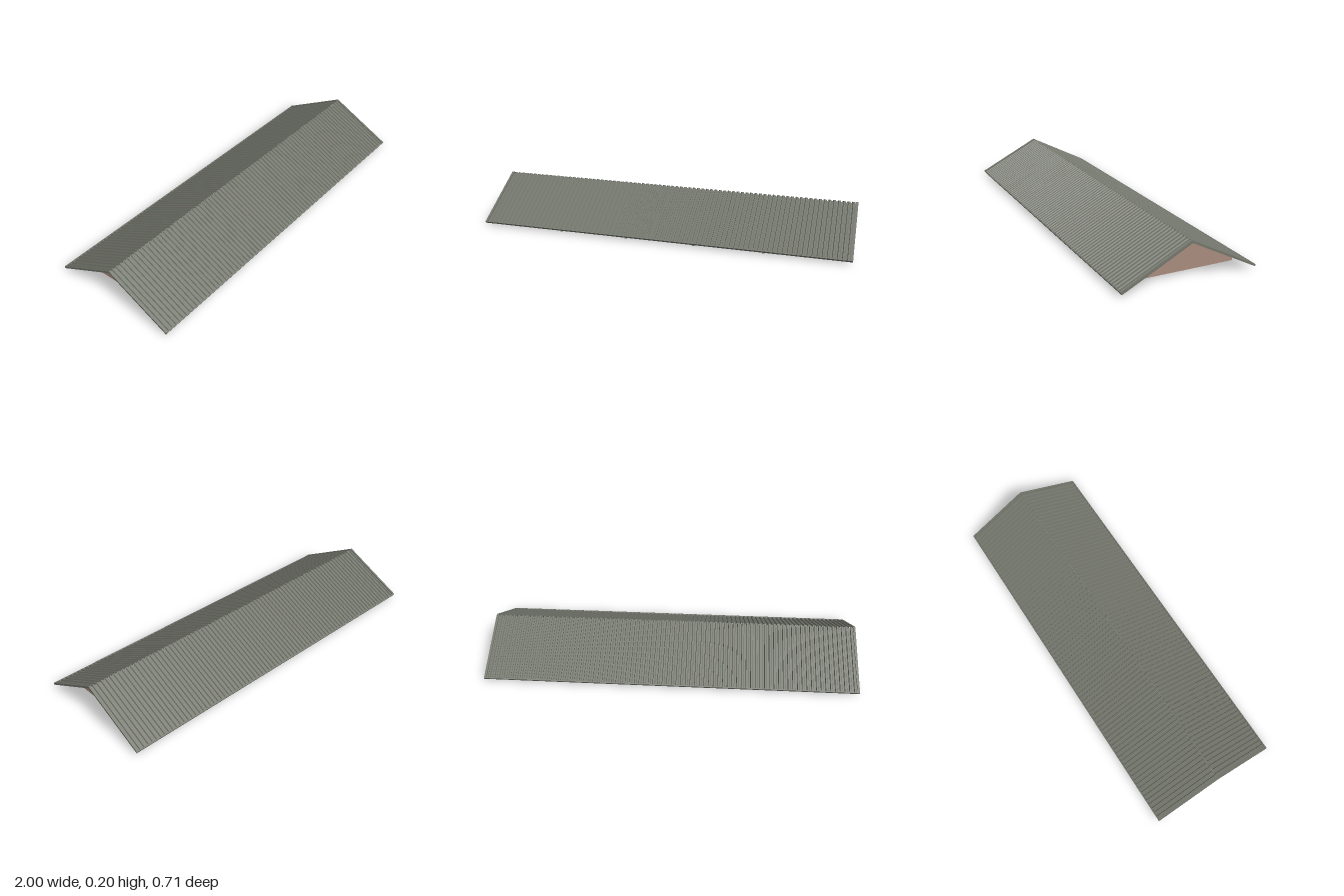
import * as THREE from 'three';

const PITCH = Math.atan(0.512);
const RIDGE_Y = 0.193;    // underside of the roofing at the ridge
const SLOPE = 0.394;      // length of one slope
const THICK = 0.0098;
const RIBS = 80;
const TRIM = 0.012;

const metal = new THREE.MeshStandardMaterial({ color: 0x74776d });
metal.name = 'greyMetal';
const gableMat = new THREE.MeshStandardMaterial({ color: 0xa88c7e });
gableMat.name = 'clayPanel';

const polygon = (points) => new THREE.Shape(points.map(([x, y]) => new THREE.Vector2(x, y)));

function addMesh(parent, name, geometry, material) {
  const mesh = new THREE.Mesh(geometry, material);
  mesh.name = name;
  parent.add(mesh);
  return mesh;
}

// Extrudes an (x, height) profile down the slope; the ridge end is cut plumb
function slopePrism(shape, from, to) {
  const geometry = new THREE.ExtrudeGeometry(shape, { depth: to - from, bevelEnabled: false });
  geometry.translate(0, 0, from);
  const p = geometry.attributes.position;
  for (let i = 0; i < p.count; i++) {
    if (Math.abs(p.getZ(i)) < 1e-6) p.setZ(i, -p.getY(i) * Math.tan(PITCH));
  }
  geometry.rotateX(PITCH).translate(0, RIDGE_Y, 0);
  geometry.computeVertexNormals();
  return geometry;
}

// Closed outline of a thin sheet with trapezoid ribs
function ribbedProfile(x0, x1) {
  const step = (x1 - x0) / RIBS;
  const sheet = 0.0015, low = 0.001, high = 0.0075;
  const wave = [[x0, low]];
  for (let i = 0; i < RIBS; i++) {
    const x = x0 + i * step;
    wave.push([x + step * 0.3, low], [x + step * 0.42, high],
      [x + step * 0.78, high], [x + step * 0.9, low]);
  }
  wave.push([x1, low]);
  const top = wave.map(([x, h]) => [x, h + sheet]).reverse();
  return polygon([...wave, ...top]);
}

const strip = (x0, x1) => polygon([[x0, 0], [x1, 0], [x1, THICK], [x0, THICK]]);

// Extrudes a (z, y) outline across x, centred on x = 0
function crossPlate(shape, width) {
  const geometry = new THREE.ExtrudeGeometry(shape, { depth: width, bevelEnabled: false });
  return geometry.translate(0, 0, -width / 2).rotateY(Math.PI / 2);
}

export function createModel() {
  const model = new THREE.Group();
  model.name = 'gableRoof';

  // Two matching roof slopes with end and eave trims
  const sheetGeo = slopePrism(ribbedProfile(-1 + TRIM, 1 - TRIM), 0, SLOPE - 0.006);
  const eaveGeo = slopePrism(strip(-1, 1), SLOPE - 0.006, SLOPE);
  const bargeGeo = slopePrism(strip(1 - TRIM, 1), 0, SLOPE - 0.006);
  const bargeGeo2 = slopePrism(strip(-1, -1 + TRIM), 0, SLOPE - 0.006);
  for (const side of ['front', 'back']) {
    const slope = new THREE.Group();
    slope.name = side + 'Slope';
    if (side === 'back') slope.rotation.y = Math.PI;
    addMesh(slope, 'corrugatedSheet', sheetGeo, metal);
    addMesh(slope, 'eaveTrim', eaveGeo, metal);
    addMesh(slope, 'endTrim', bargeGeo, metal);
    addMesh(slope, 'endTrim', bargeGeo2, metal);
    model.add(slope);
  }

  // Triangular trusses
  const trussShape = polygon([[-0.33, 0], [0.33, 0], [0.33, 0.024], [0, RIDGE_Y], [-0.33, 0.024]]);
  trussShape.holes.push(polygon([[-0.303, 0.018], [0, 0.173], [0.303, 0.018]]));
  const trussGeo = crossPlate(trussShape, 0.013);
  for (const x of [-0.554, -0.185, 0.185, 0.554]) {
    addMesh(model, 'truss', trussGeo, metal).position.x = x;
  }

  // Gable panels set in from each end
  const gableGeo = crossPlate(
    polygon([[-0.285, 0.02], [0.285, 0.02], [0.285, 0.047], [0, RIDGE_Y], [-0.285, 0.047]]), 0.01);
  for (const x of [-0.903, 0.903]) {
    addMesh(model, 'gablePanel', gableGeo, gableMat).position.x = x;
  }

  return model;
}
